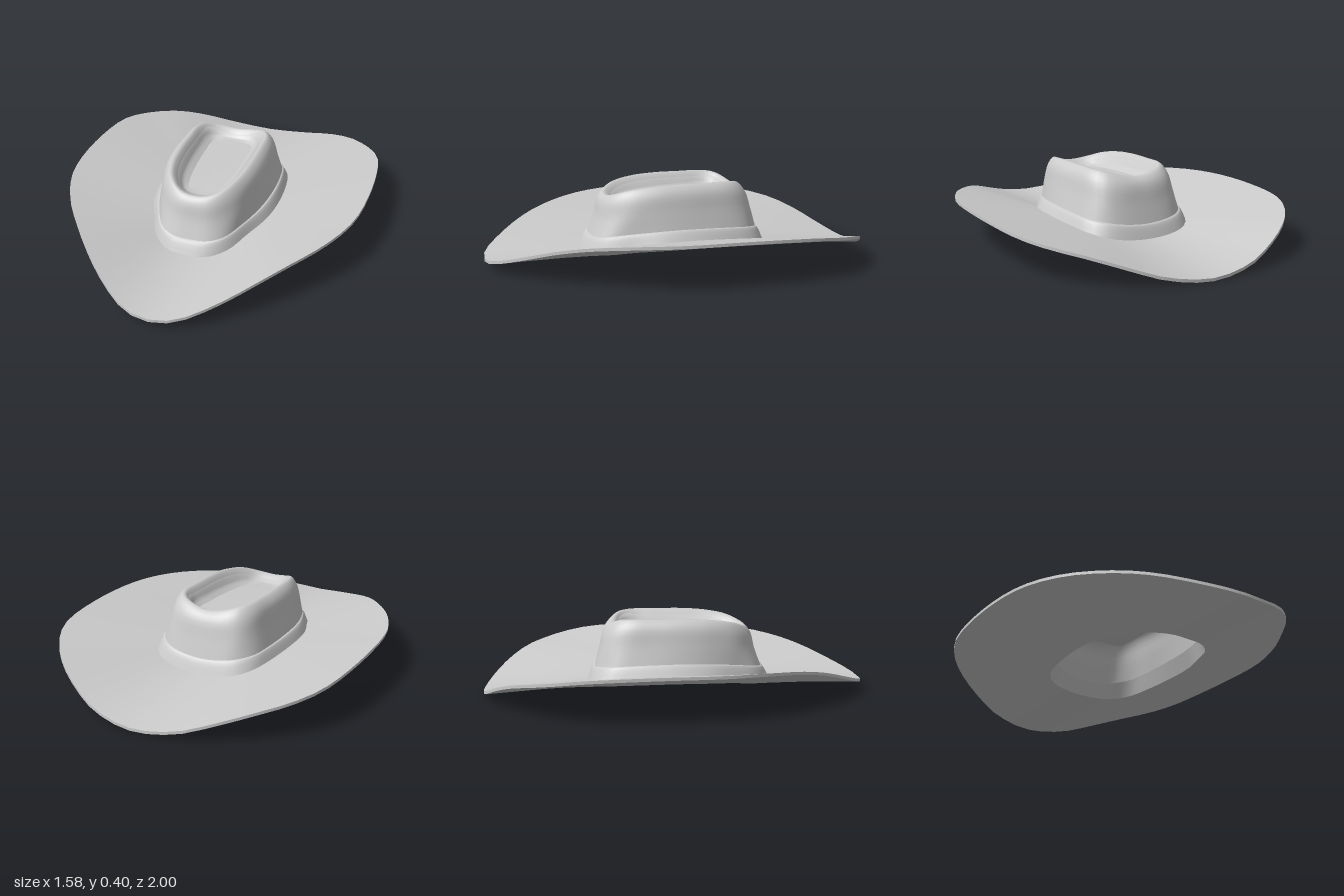
import * as THREE from 'three';

const N = 64; // points round each ring
const material = new THREE.MeshStandardMaterial({ color: 0xcccccc, side: THREE.DoubleSide });

// Closed ring from [x, y, z] points of the +x half, listed back to front
function ring(half) {
  const mirrored = half.slice(1, -1).reverse().map(([x, y, z]) => [-x, y, z]);
  const curve = new THREE.CatmullRomCurve3(
    [...half, ...mirrored].map((p) => new THREE.Vector3(...p)), true, 'centripetal');
  curve.arcLengthDivisions = 600;
  return curve.getSpacedPoints(N).slice(0, N);
}

const reshape = (r, fn) => r.map((p) => new THREE.Vector3(...fn(p.x, p.y, p.z)));
const blend = (a, b, t, lift = 0) => a.map((p, i) => {
  const q = p.clone().lerp(b[i], t);
  q.y += lift;
  return q;
});

// Skin through the rings; with steps, the rings are first joined by smooth curves
function loft(name, rings, steps = 0) {
  let rows = rings;
  if (steps) {
    const columns = rings[0].map((_, j) =>
      new THREE.CatmullRomCurve3(rings.map((r) => r[j]), false, 'centripetal').getPoints(steps));
    rows = Array.from({ length: steps + 1 }, (_, i) => columns.map((c) => c[i]));
  }
  const geometry = new THREE.BufferGeometry().setFromPoints(rows.flat());
  const index = [];
  for (let i = 0; i < rows.length - 1; i++) {
    for (let j = 0; j < N; j++) {
      const k = (j + 1) % N;
      const a = i * N + j, b = i * N + k, c = a + N, d = b + N;
      index.push(a, c, b, b, c, d);
    }
  }
  geometry.setIndex(index);
  geometry.computeVertexNormals();
  const mesh = new THREE.Mesh(geometry, material);
  mesh.name = name;
  return mesh;
}

export function createModel() {
  const hat = new THREE.Group();
  hat.name = 'wideBrimmedHat';

  // Upturned outer edge of the brim
  const edge = ring([
    [0, 0.015, -1], [0.23, 0.045, -0.97], [0.4, 0.1, -0.9], [0.54, 0.145, -0.81],
    [0.66, 0.175, -0.69], [0.735, 0.197, -0.57], [0.77, 0.212, -0.45], [0.79, 0.227, -0.1],
    [0.76, 0.225, 0.19], [0.67, 0.215, 0.41], [0.53, 0.19, 0.61], [0.42, 0.157, 0.74],
    [0.33, 0.123, 0.83], [0.22, 0.085, 0.92], [0.12, 0.058, 0.98], [0, 0.045, 1],
  ]);
  const edgeUnder = reshape(edge, (x, y, z) => [x, y - 0.015, z]);

  // Foot and top of the band
  const base = ring([
    [0, 0.066, -0.455], [0.14, 0.075, -0.445], [0.22, 0.09, -0.42], [0.28, 0.108, -0.36],
    [0.31, 0.12, -0.26], [0.33, 0.133, -0.02], [0.31, 0.128, 0.15], [0.25, 0.11, 0.3],
    [0.19, 0.085, 0.42], [0.1, 0.068, 0.49], [0, 0.065, 0.5],
  ]);
  const bandTop = ring([
    [0, 0.135, -0.42], [0.13, 0.145, -0.41], [0.2, 0.157, -0.385], [0.26, 0.168, -0.32],
    [0.285, 0.177, -0.2], [0.29, 0.183, 0], [0.27, 0.178, 0.15], [0.22, 0.163, 0.3],
    [0.16, 0.145, 0.41], [0.09, 0.134, 0.45], [0, 0.13, 0.455],
  ]);
  const bandBulge = blend(base, bandTop, 0.7, 0.012);

  // Crown: wall, shoulder, crest, then down into the pinch
  const wall = ring([
    [0, 0.23, -0.395], [0.13, 0.235, -0.385], [0.2, 0.25, -0.355], [0.245, 0.265, -0.28],
    [0.265, 0.275, -0.1], [0.265, 0.275, 0.05], [0.245, 0.27, 0.18], [0.195, 0.25, 0.32],
    [0.1, 0.23, 0.41], [0, 0.225, 0.422],
  ]);
  const shoulder = ring([
    [0, 0.33, -0.365], [0.1, 0.335, -0.36], [0.18, 0.35, -0.325], [0.225, 0.362, -0.25],
    [0.24, 0.365, -0.1], [0.24, 0.365, 0.05], [0.225, 0.355, 0.18], [0.175, 0.335, 0.31],
    [0.09, 0.31, 0.39], [0, 0.305, 0.402],
  ]);
  const crest = ring([
    [0, 0.36, -0.32], [0.1, 0.377, -0.31], [0.16, 0.394, -0.28], [0.19, 0.4, -0.22],
    [0.195, 0.4, -0.1], [0.195, 0.4, 0.05], [0.185, 0.392, 0.18], [0.15, 0.374, 0.29],
    [0.08, 0.345, 0.36], [0, 0.335, 0.372],
  ]);
  const floor = ring([
    [0, 0.318, -0.25], [0.06, 0.318, -0.248], [0.105, 0.317, -0.235], [0.113, 0.315, -0.1],
    [0.108, 0.312, 0.05], [0.09, 0.307, 0.2], [0.07, 0.304, 0.255], [0, 0.302, 0.27],
  ]);
  const dent = blend(crest, floor, 0.6, -0.012);
  const spine = reshape(floor, (x, y, z) => [0, y, z * 0.9]);

  hat.add(
    loft('brimEdge', [edgeUnder, edge]),
    loft('brimTop', [edge, blend(edge, base, 0.5), base]),
    loft('band', [base, bandBulge, bandTop], 6),
    loft('crown', [bandTop, wall, shoulder, crest, dent, floor], 20),
    loft('crownFloor', [floor, spine]),
  );

  // Inside of the hat, a thin shell within the outer one
  const inset = (r) => reshape(r, (x, y, z) => [x * 0.95, y - 0.015, z * 0.965]);
  const opening = reshape(base, (x, y, z) => [x * 0.95, y * 0.65, z * 0.965]);
  const bandInside = inset(bandTop);
  const floorUnder = reshape(floor, (x, y, z) => [x * 1.1, y - 0.015, z * 1.03]);
  const spineUnder = reshape(spine, (x, y, z) => [x, y - 0.015, z]);
  hat.add(
    loft('liningTop', [spineUnder, floorUnder]),
    loft('lining', [floorUnder, inset(crest), inset(shoulder), inset(wall), bandInside], 14),
    loft('sweatband', [bandInside, opening]),
    loft('brimUnderside', [opening, blend(opening, edgeUnder, 0.5), edgeUnder]),
  );
  return hat;
}
